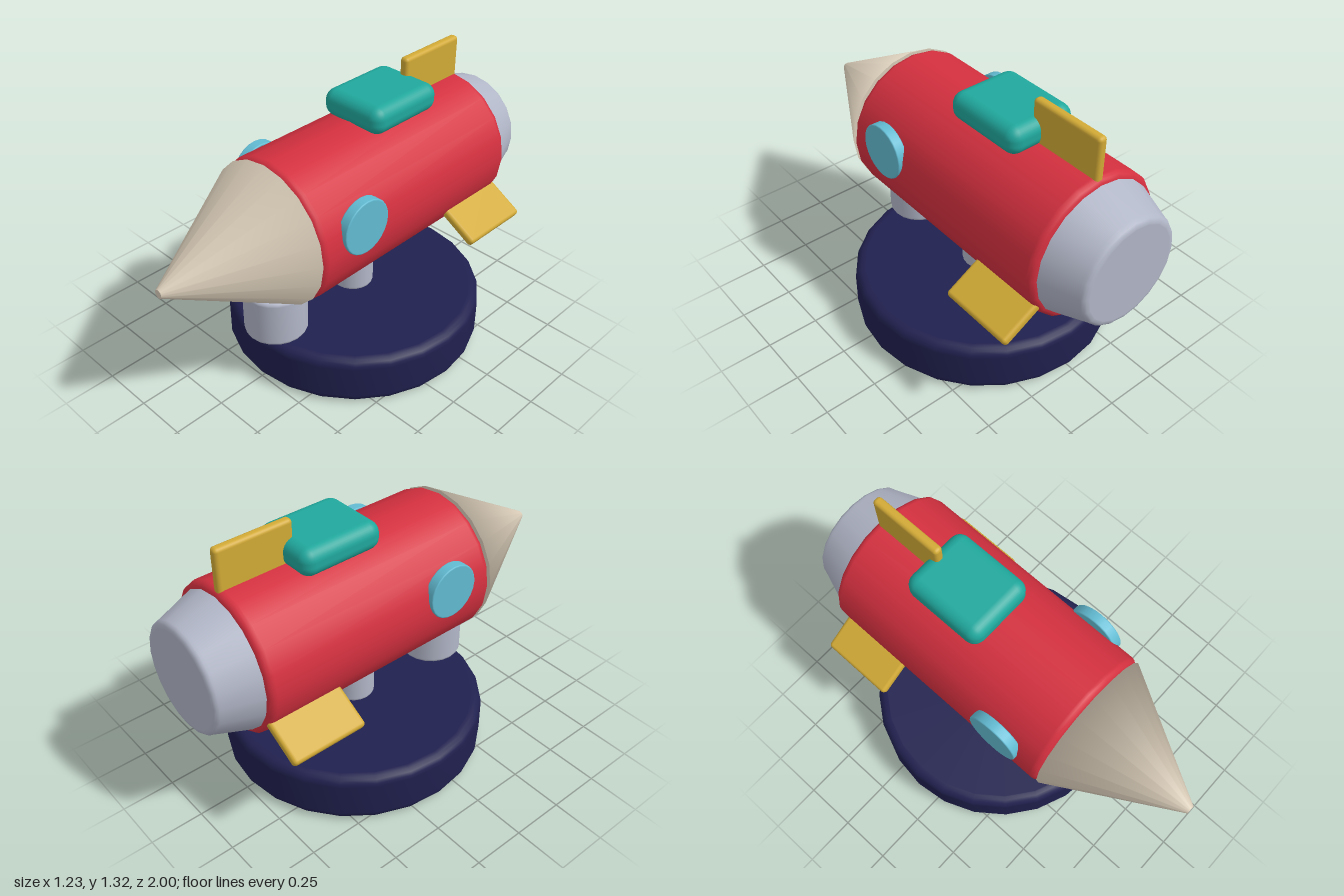
import * as THREE from 'three';
import { RoundedBoxGeometry } from 'three/addons/geometries/RoundedBoxGeometry.js';

const AXIS_Y = 0.786; // height of the rocket's long axis

function paint(name, color) {
  const m = new THREE.MeshStandardMaterial({ color });
  m.name = name;
  return m;
}

// Solid of revolution along +y, tapering from r0 to r1, with rounded rims
function roundedDrum(r0, r1, h0, h1, bevel, sides) {
  const points = [[0, h0], [r0 - bevel - 0.004, h0]];
  const steps = 4;
  for (let i = 0; i <= steps; i++) {
    const a = (i / steps) * Math.PI / 2;
    points.push([r0 - bevel + bevel * Math.sin(a), h0 + bevel - bevel * Math.cos(a)]);
  }
  for (let i = 0; i <= steps; i++) {
    const a = (i / steps) * Math.PI / 2;
    points.push([r1 - bevel + bevel * Math.cos(a), h1 - bevel + bevel * Math.sin(a)]);
  }
  points.push([r1 - bevel - 0.004, h1], [0, h1]);
  return new THREE.LatheGeometry(points.map(([r, h]) => new THREE.Vector2(r, h)), sides);
}

// Nose cone along +z whose shading rolls smoothly around the rim to the back
function noseCone(tip, rim, length, sides) {
  const cone = new THREE.CylinderGeometry(tip, rim, length, sides);
  const { position, normal } = cone.attributes;
  for (let i = sides + 1; i < 2 * (sides + 1); i++) {
    normal.setXYZ(i, 0.5 * position.getX(i) / rim, -0.87, 0.5 * position.getZ(i) / rim);
  }
  return cone.rotateX(Math.PI / 2);
}

export function createModel() {
  const model = new THREE.Group();
  model.name = 'rocketOnStand';

  const red = paint('hull red', 0xd4303f);
  const beige = paint('nose beige', 0xd9ccb8);
  const grey = paint('metal grey', 0xb2b7c8);
  const navy = paint('stand navy', 0x20204f);
  const teal = paint('canopy teal', 0x20a89d);
  const gold = paint('fin gold', 0xd2aa36);
  const blue = paint('window blue', 0x62bbd2);

  function add(name, geometry, material, x = 0, y = 0, z = 0, parent = model) {
    const mesh = new THREE.Mesh(geometry, material);
    mesh.name = name;
    mesh.position.set(x, y, z);
    parent.add(mesh);
  }

  // Stand: round plinth and two posts
  add('plinth', roundedDrum(0.617, 0.617, 0, 0.248, 0.045, 24), navy, 0, 0, -0.113);
  add('frontPost', roundedDrum(0.148, 0.148, 0.25, 0.495, 0.02, 20), grey, 0, 0, 0.397);
  add('rearPost', roundedDrum(0.1, 0.1, 0.24, 0.495, 0.02, 20), grey, 0, 0, -0.11);

  // Hull, tapering engine nozzle and nose cone, laid along z
  add('hull', roundedDrum(0.346, 0.346, -0.805, 0.422, 0.035, 20).rotateX(Math.PI / 2), red, 0, AXIS_Y);
  add('nozzle', roundedDrum(0.258, 0.318, -1, -0.77, 0.03, 20).rotateX(Math.PI / 2), grey, 0, AXIS_Y);
  add('noseCone', noseCone(0.02, 0.343, 0.576, 20), beige, 0, AXIS_Y, 0.712);

  // Round side windows
  for (const side of [1, -1]) {
    add(side > 0 ? 'leftWindow' : 'rightWindow',
      roundedDrum(0.13, 0.13, -0.025, 0.025, 0.006, 24).rotateZ(-side * Math.PI / 2),
      blue, side * 0.33, 0.868, 0.175);
  }

  // Canopy on top of the hull
  add('canopy', new RoundedBoxGeometry(0.344, 0.132, 0.41, 4, 0.055), teal, 0, 1.172, -0.278);

  // Three tail fins spaced evenly around the axis
  ['topFin', 'leftFin', 'rightFin'].forEach((name, i) => {
    const pivot = new THREE.Group();
    pivot.name = name;
    pivot.position.y = AXIS_Y;
    pivot.rotation.z = -i * Math.PI * 2 / 3;
    add(name + 'Blade', new RoundedBoxGeometry(0.045, 0.26, 0.37, 3, 0.018), gold, 0, 0.405, -0.61, pivot);
    model.add(pivot);
  });

  return model;
}
